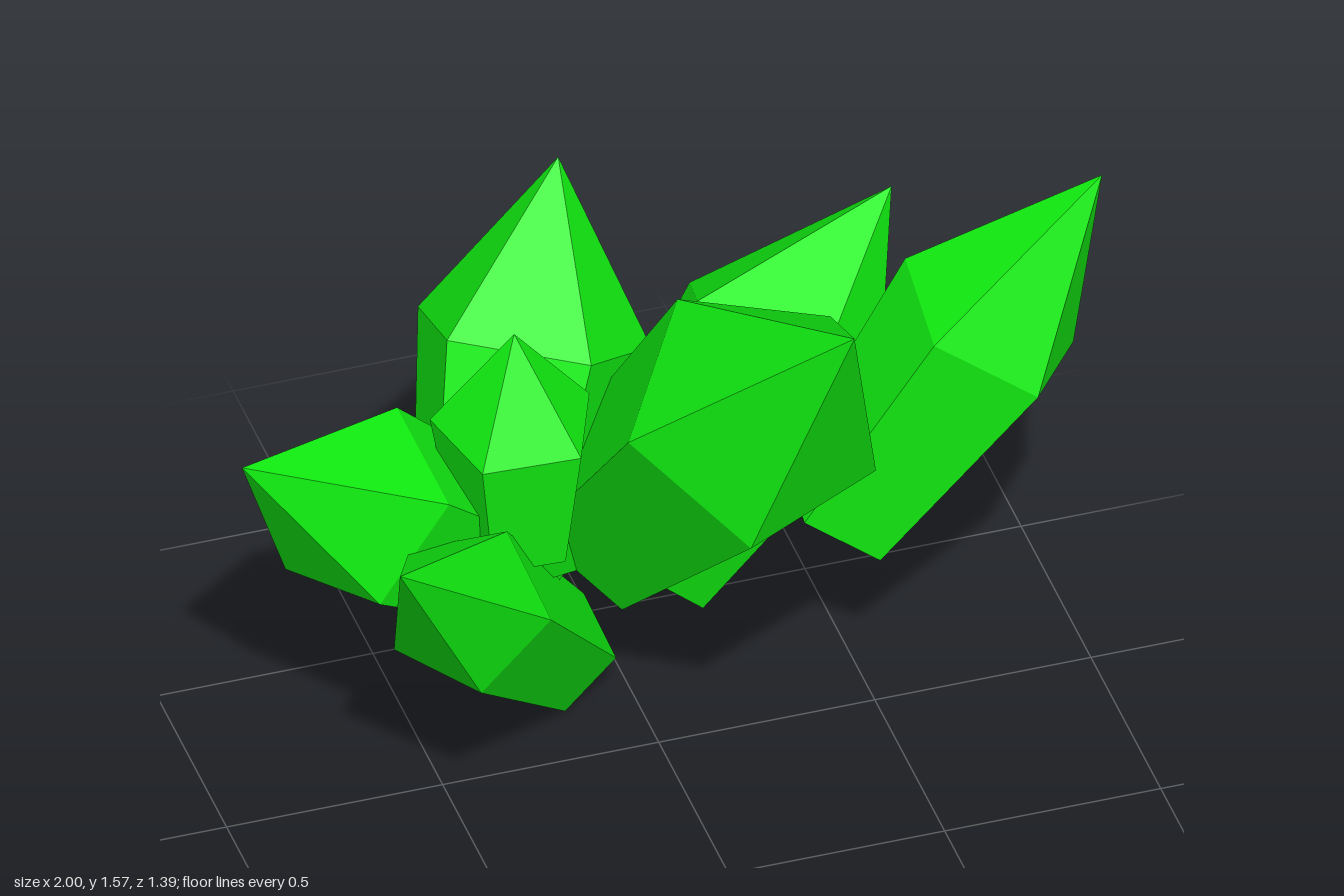
import * as THREE from 'three';

const SIDES = 5;
const BODY = 1.27;  // body length relative to point length
const TAPER = 0.73; // base radius relative to shoulder radius

// tip, centre of the shoulder ring, one shoulder corner, shoulder radius
const CRYSTALS = [
  { name: 'tallFrontCrystal', tip: [0.23, 1.56, 0.69], mid: [0.13, 1.066, 0.27], corner: [0.05, 0.88, 0.50], radius: 0.305 },
  { name: 'leftCrystal', tip: [1.0, 1.39, 0.08], mid: [0.766, 0.978, -0.01], corner: [0.81, 0.90, 0.20], radius: 0.228 },
  { name: 'rightCrystal', tip: [-1.0, 1.07, 0.11], mid: [-0.67, 0.765, -0.055], corner: [-0.50, 0.83, 0.09], radius: 0.232 },
  { name: 'slimFrontCrystal', tip: [-0.77, 1.02, 0.53], mid: [-0.497, 0.61, 0.177], corner: [-0.51, 0.48, 0.31], radius: 0.19 },
  { name: 'smallCrystal', tip: [-0.325, 1.18, -0.03], mid: [-0.318, 0.925, -0.04], corner: [-0.22, 0.92, 0.12], radius: 0.19 },
  { name: 'backCrystal', tip: [-0.055, 1.23, -0.55], mid: [-0.166, 0.87, -0.406], corner: [-0.05, 0.76, -0.65], radius: 0.275 },
  { name: 'backLeftCrystal', tip: [0.72, 0.96, -0.56], mid: [0.418, 0.655, -0.455], corner: [0.53, 0.48, -0.63], radius: 0.275 },
];

// Five-sided crystal: flat base, flaring body, long point
function crystal({ name, tip, mid, corner, radius }, material) {
  const centre = new THREE.Vector3(...mid);
  const up = new THREE.Vector3(...tip).sub(centre);
  const height = up.length();
  up.normalize();

  const profile = [
    [0, -BODY * height],
    [radius * TAPER, -BODY * height],
    [radius, 0],
    [0, height],
  ].map(([x, y]) => new THREE.Vector2(x, y));
  const mesh = new THREE.Mesh(new THREE.LatheGeometry(profile, SIDES), material);
  mesh.name = name;

  // Local y follows the crystal axis, local z points at the given corner
  const out = new THREE.Vector3(...corner).sub(centre);
  out.addScaledVector(up, -out.dot(up)).normalize();
  const side = new THREE.Vector3().crossVectors(up, out);
  mesh.quaternion.setFromRotationMatrix(new THREE.Matrix4().makeBasis(side, up, out));
  mesh.position.copy(centre);
  return mesh;
}

export function createModel() {
  const group = new THREE.Group();
  group.name = 'crystalCluster';
  const material = new THREE.MeshStandardMaterial({ color: 0x11ee11, flatShading: true });
  for (const spec of CRYSTALS) group.add(crystal(spec, material));
  return group;
}
